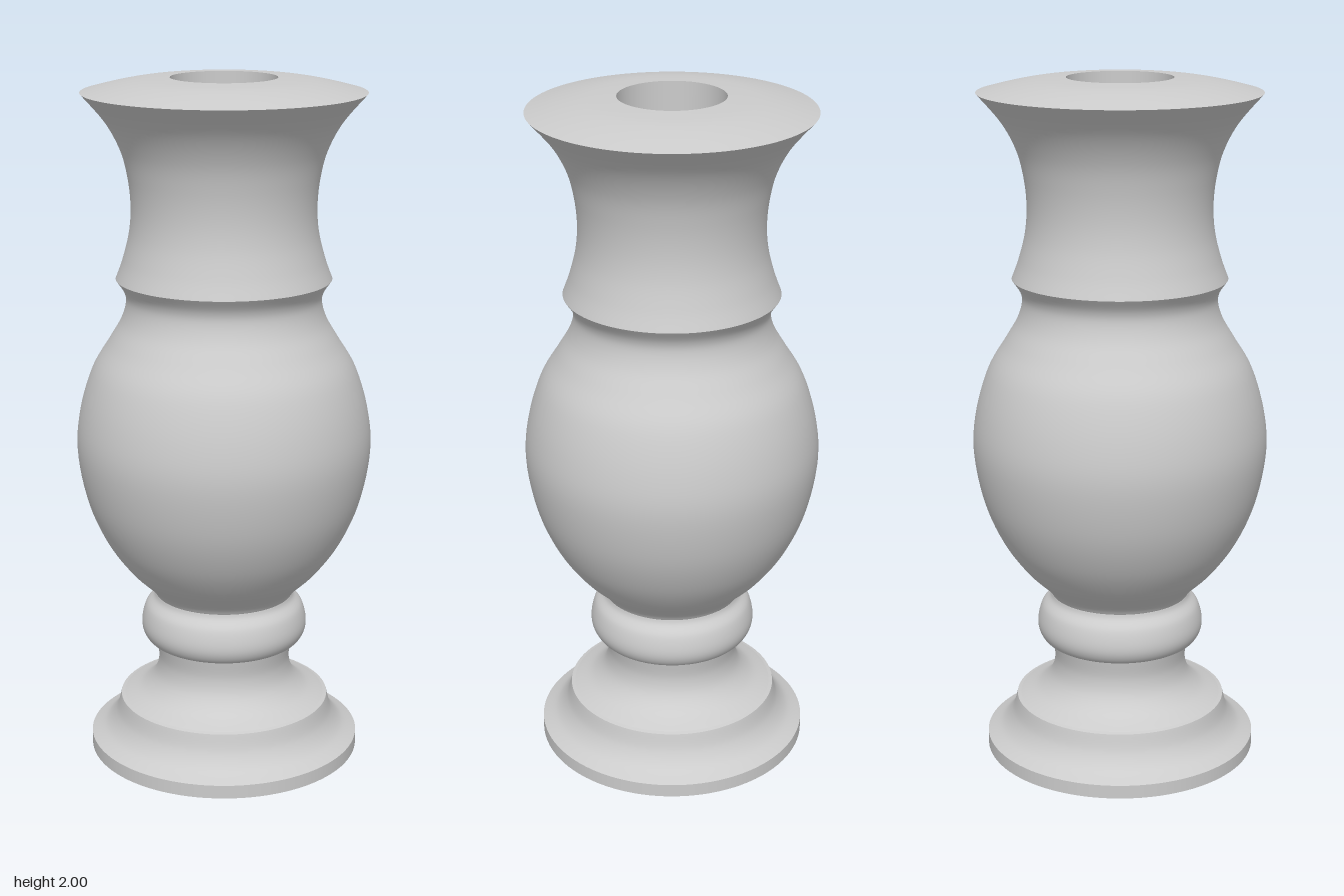
import * as THREE from 'three';

const material = new THREE.MeshStandardMaterial({ color: 0xcccccc, side: THREE.DoubleSide });

// Turned section: a smooth curve through [radius, height] points
function turned(name, points, steps = 24) {
  const pts = points.map(([r, y]) => new THREE.Vector2(r, y));
  const profile = pts.length > 2 ? new THREE.SplineCurve(pts).getPoints(steps) : pts;
  const mesh = new THREE.Mesh(new THREE.LatheGeometry(profile, 96), material);
  mesh.name = name;
  return mesh;
}

export function createModel() {
  const group = new THREE.Group();
  group.name = 'candlestick';

  // Hollow foot, open underneath
  group.add(turned('footRim', [[0.4, 0], [0.4, 0.04]]));
  group.add(turned('footCove', [[0.4, 0.04], [0.355, 0.065], [0.325, 0.105], [0.31, 0.157]]));
  group.add(turned('footLedge', [[0.31, 0.157], [0.299, 0.16]]));

  // Narrow stem and rounded collar
  group.add(turned('stem', [[0.299, 0.16], [0.245, 0.185], [0.208, 0.225], [0.195, 0.275], [0.202, 0.333]]));
  group.add(turned('collar', [[0.202, 0.333], [0.228, 0.345], [0.243, 0.372], [0.244, 0.405],
    [0.232, 0.445], [0.21, 0.47], [0.204, 0.485]], 32));

  // Bulbous body flaring into the shoulder under the cup
  group.add(turned('body', [[0.204, 0.485], [0.222, 0.51], [0.285, 0.572], [0.35, 0.665], [0.4, 0.785],
    [0.426, 0.93], [0.416, 1.05], [0.38, 1.17], [0.33, 1.255], [0.295, 1.315], [0.28, 1.365],
    [0.285, 1.4], [0.308, 1.435]], 64));

  // Waisted cup
  group.add(turned('cup', [[0.308, 1.435], [0.288, 1.49], [0.269, 1.565], [0.263, 1.64], [0.27, 1.72],
    [0.29, 1.8], [0.332, 1.88], [0.4, 1.96]], 48));

  // Domed top with a candle socket
  group.add(turned('top', [[0.4, 1.96], [0.32, 1.98], [0.24, 1.994], [0.15, 2]]));
  group.add(turned('socketWall', [[0.15, 2], [0.15, 1.65]]));
  group.add(turned('socketFloor', [[0.15, 1.65], [0, 1.65]]));

  return group;
}
